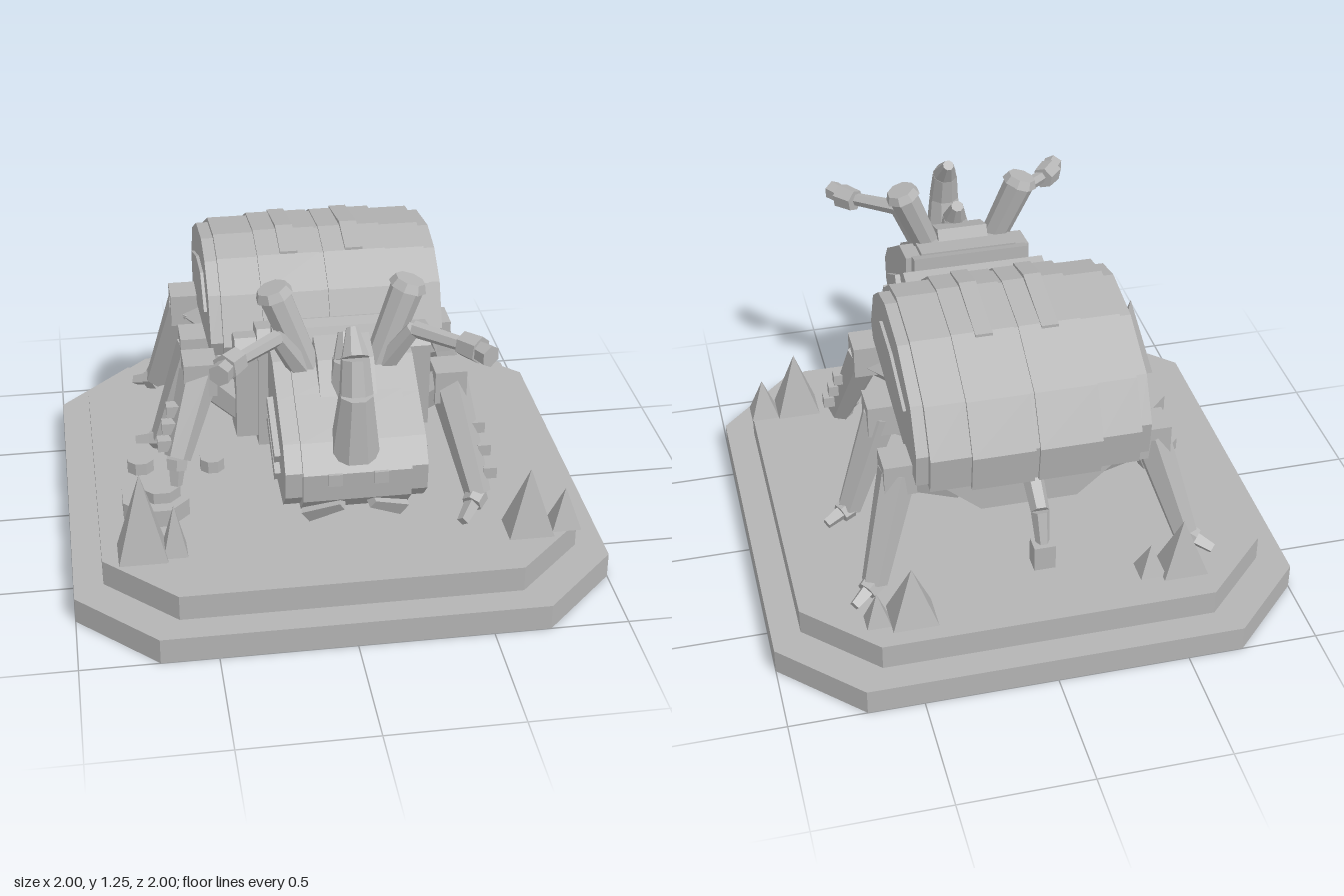
import * as THREE from 'three';

const grey = new THREE.MeshStandardMaterial({ color: 0xb4b4b4 });
const V = (p) => new THREE.Vector3(...p);

export function createModel() {
  const model = new THREE.Group();

  // Adds a faceted mesh
  const add = (name, geo, parent = model) => {
    const g = geo.index ? geo.toNonIndexed() : geo;
    g.computeVertexNormals();
    const m = new THREE.Mesh(g, grey);
    m.name = name;
    parent.add(m);
    return m;
  };
  const box = (name, w, h, d, x, y, z, parent) =>
    add(name, new THREE.BoxGeometry(w, h, d).translate(x, y, z), parent);

  // Side profile of [z, y] points, swept across x
  const slab = (name, pts, x0, x1, parent) => {
    const shape = new THREE.Shape(pts.map(([z, y]) => new THREE.Vector2(-z, y)));
    const g = new THREE.ExtrudeGeometry(shape, { depth: x1 - x0, bevelEnabled: false });
    return add(name, g.rotateY(Math.PI / 2).translate(x0, 0, 0), parent);
  };
  const shrink = (pts, s, cz, cy) => pts.map(([z, y]) => [cz + (z - cz) * s, cy + (y - cy) * s]);

  // Tapered prism between two points
  const rod = (name, a, b, r0, r1, sides = 6, parent = model) => {
    const A = V(a), B = V(b), d = B.clone().sub(A);
    const g = new THREE.CylinderGeometry(r1, r0, d.length(), sides);
    g.rotateY(Math.PI / sides);
    g.applyQuaternion(new THREE.Quaternion().setFromUnitVectors(V([0, 1, 0]), d.normalize()));
    g.translate(...A.add(B).multiplyScalar(0.5).toArray());
    return add(name, g, parent);
  };
  const chain = (name, pts, radii, sides, parent) => {
    for (let i = 0; i < pts.length - 1; i++) rod(name, pts[i], pts[i + 1], radii[i], radii[i + 1], sides, parent);
  };

  // Two-tier plinth with cut corners
  const tier = (name, w, c, y0, y1) => {
    const s = new THREE.Shape([[w, -c], [w, c], [c, w], [-c, w], [-w, c], [-w, -c], [-c, -w], [c, -w]]
      .map((p) => new THREE.Vector2(...p)));
    const g = new THREE.ExtrudeGeometry(s, { depth: y1 - y0, bevelEnabled: false });
    add(name, g.rotateX(-Math.PI / 2).translate(0, y0, 0));
  };
  tier('plinthLower', 1, 0.71, 0, 0.1);
  tier('plinthUpper', 0.89, 0.63, 0.1, 0.2);

  // Rock spikes: x, z, half width, half depth, top
  [[-0.74, 0.6, 0.09, 0.075, 0.54], [-0.62, 0.6, 0.045, 0.05, 0.4],
    [0.7, 0.64, 0.085, 0.07, 0.46], [0.84, 0.63, 0.055, 0.05, 0.36],
    [0.49, -0.75, 0.085, 0.075, 0.42], [0.62, -0.75, 0.045, 0.04, 0.33],
    [-0.55, -0.72, 0.085, 0.065, 0.42], [-0.43, -0.71, 0.05, 0.05, 0.32]].forEach(([x, z, w, d, top]) => {
    const g = new THREE.ConeGeometry(Math.SQRT2, top - 0.2, 4).rotateY(Math.PI / 4);
    add('rockSpike', g.scale(w, 1, d).translate(x, (top + 0.2) / 2, z));
  });
  // Flat stones
  [[-0.67, 0.31, 0.135, 0.27], [-0.65, 0.31, 0.08, 0.315], [-0.71, 0.01, 0.055, 0.25], [-0.43, 0.04, 0.05, 0.25]]
    .forEach(([x, z, r, top]) => add('stone',
      new THREE.CylinderGeometry(r, r, top - 0.2, 8).rotateY(Math.PI / 8).translate(x, (top + 0.2) / 2, z)));

  // Wing case: stepped bands on both sides of the centre seam
  const shell = [[0.25, 0.78], [0.28, 0.85], [0.2, 1.03], [0.07, 1.125], [-0.08, 1.16], [-0.33, 1.12],
    [-0.57, 0.99], [-0.67, 0.81], [-0.65, 0.66], [-0.42, 0.68]];
  const ridge = [[0.07, 1.135], [-0.08, 1.175], [-0.35, 1.12], [-0.35, 1.08], [0.07, 1.08]];
  const crease = [[0.1, 0.92], [-0.03, 1.02], [-0.22, 1.0], [-0.46, 0.91], [-0.2, 0.955], [-0.03, 0.97]];
  slab('wingSeam', shrink(shell, 0.975, -0.2, 0.88), -0.01, 0.01);
  for (const s of [-1, 1]) {
    const part = (name, pts, a, b) => slab(name, pts, Math.min(s * a, s * b), Math.max(s * a, s * b));
    part('wingInner', shell, 0.008, 0.24);
    part('wingMiddle', shrink(shell, 0.965, -0.2, 0.88), 0.24, 0.39);
    part('wingOuter', shrink(shell, 0.9, -0.2, 0.88), 0.39, 0.435);
    part('wingRidge', ridge, 0.09, 0.155);
    part('wingCrease', crease, 0.435, 0.447);
  }

  // Belly segments, tapering to the bottom
  const belly = [[-0.38, 0.74], [-0.36, 0.6], [-0.2, 0.46], [0.2, 0.46], [0.36, 0.6], [0.38, 0.74]];
  const bellyShape = new THREE.Shape(belly.map((p) => new THREE.Vector2(...p)));
  for (let i = 0; i < 4; i++) {
    const k = 1 - i * 0.03;
    const g = new THREE.ExtrudeGeometry(bellyShape, { depth: 0.195, bevelEnabled: false });
    add('bellySegment', g.translate(0, -0.74, 0).scale(k, k, 1).translate(0, 0.74, 0.05 - i * 0.2));
  }

  // Thorax and neck collar
  const thorax = [[0.39, 0.5], [0.41, 0.9], [0.36, 0.97], [0.26, 0.95], [0.2, 0.8], [0.2, 0.47]];
  slab('thorax', thorax, -0.28, 0.28);
  slab('thoraxSides', shrink(thorax, 0.85, 0.29, 0.72), -0.36, 0.36);
  slab('neckCollar', [[0.44, 0.55], [0.44, 0.99], [0.38, 1.01], [0.37, 0.55]], -0.23, 0.23);

  // Head
  const head = [[0.43, 0.62], [0.43, 1.0], [0.58, 0.98], [0.72, 0.89], [0.88, 0.79], [0.95, 0.7],
    [0.94, 0.59], [0.87, 0.52], [0.6, 0.53]];
  slab('headCore', head, -0.19, 0.19);
  slab('headCheeks', shrink(head, 0.92, 0.7, 0.7), -0.25, 0.25);
  slab('browCrest', [[0.52, 0.97], [0.55, 1.03], [0.66, 0.99], [0.74, 0.87]], -0.1, 0.1);
  for (const s of [-1, 1]) {
    for (const y of [0, 0.07]) {
      rod('cheekSlat', [s * 0.25, 0.61 + y, 0.79], [s * 0.25, 0.73 + y, 0.58], 0.03, 0.03, 4);
    }
    box('eye', 0.05, 0.045, 0.02, s * 0.08, 0.68, 0.95);
    rod('mandible', [s * 0.17, 0.51, 0.87], [s * 0.05, 0.57, 0.93], 0.04, 0.025, 4);

    // Side horns
    rod('sideHorn', [s * 0.1, 0.86, 0.6], [s * 0.235, 1.2, 0.55], 0.05, 0.06, 8);
    rod('sideHornTip', [s * 0.235, 1.2, 0.55], [s * 0.245, 1.23, 0.55], 0.07, 0.055, 8);

    // Antennae with clubbed ends
    chain('antenna', [[s * 0.15, 0.93, 0.6], [s * 0.24, 1.09, 0.66], [s * 0.41, 1.08, 0.8]], [0.045, 0.03, 0.025], 6);
    rod('antennaClub', [s * 0.39, 1.08, 0.77], [s * 0.44, 1.08, 0.83], 0.045, 0.05, 6);
    rod('antennaTip', [s * 0.43, 1.08, 0.82], [s * 0.465, 1.08, 0.88], 0.035, 0.04, 6);
  }

  // Nose horn curving back, with a smaller one behind
  chain('noseHorn', [[0, 0.74, 0.87], [0, 0.98, 0.89], [0, 1.1, 0.86], [0, 1.18, 0.79]], [0.09, 0.06, 0.05, 0.022], 8);
  chain('browHorn', [[0, 0.88, 0.68], [0, 1.0, 0.68], [0, 1.08, 0.63]], [0.07, 0.05, 0.025], 8);

  // Legs: hip, knee, ankle, toe
  const leg = (name, hip, knee, ankle, toe, mirror = 1) => {
    const g = new THREE.Group();
    g.name = name;
    model.add(g);
    const [h, k, a, t] = [hip, knee, ankle, toe].map(([x, y, z]) => [x * mirror, y, z]);
    rod('thigh', h, k, 0.055, 0.07, 6, g);
    box('kneeBlock', 0.12, 0.13, 0.13, k[0], k[1], k[2], g);
    rod('shin', k, a, 0.075, 0.05, 6, g);
    rod('ankle', a, V(a).lerp(V(t), 0.4).toArray(), 0.045, 0.04, 6, g);
    rod('toe', a, t, 0.035, 0.022, 4, g);
    return [k, a, g];
  };
  // Small studs down the outside of a shin
  const studs = ([k, a, g], side) => [0.4, 0.6, 0.8].forEach((f) => {
    const p = V(k).lerp(V(a), f);
    box('shinStud', 0.05, 0.045, 0.045, p.x + side * 0.065, p.y, p.z + 0.01, g);
  });
  for (const s of [-1, 1]) {
    leg('middleLeg', [0.24, 0.5, -0.1], [0.47, 0.665, -0.11], [0.61, 0.25, -0.13], [0.71, 0.22, -0.18], s);
    leg('rearLeg', [0.24, 0.5, -0.4], [0.48, 0.665, -0.48], [0.6, 0.26, -0.6], [0.69, 0.22, -0.67], s);
  }
  studs(leg('leftFrontLeg', [0.22, 0.5, 0.24], [0.45, 0.665, 0.29], [0.54, 0.27, 0.48], [0.46, 0.22, 0.59]), 1);
  // Raised front leg
  studs(leg('rightFrontLeg', [-0.24, 0.5, 0.24], [-0.49, 0.79, 0.33], [-0.59, 0.52, 0.47], [-0.6, 0.42, 0.5]), -1);

  // Tail
  chain('tail', [[0, 0.64, -0.58], [0, 0.56, -0.7], [0, 0.43, -0.745]], [0.04, 0.035, 0.025], 6);
  box('tailTip', 0.08, 0.1, 0.07, 0, 0.4, -0.745);

  return model;
}
